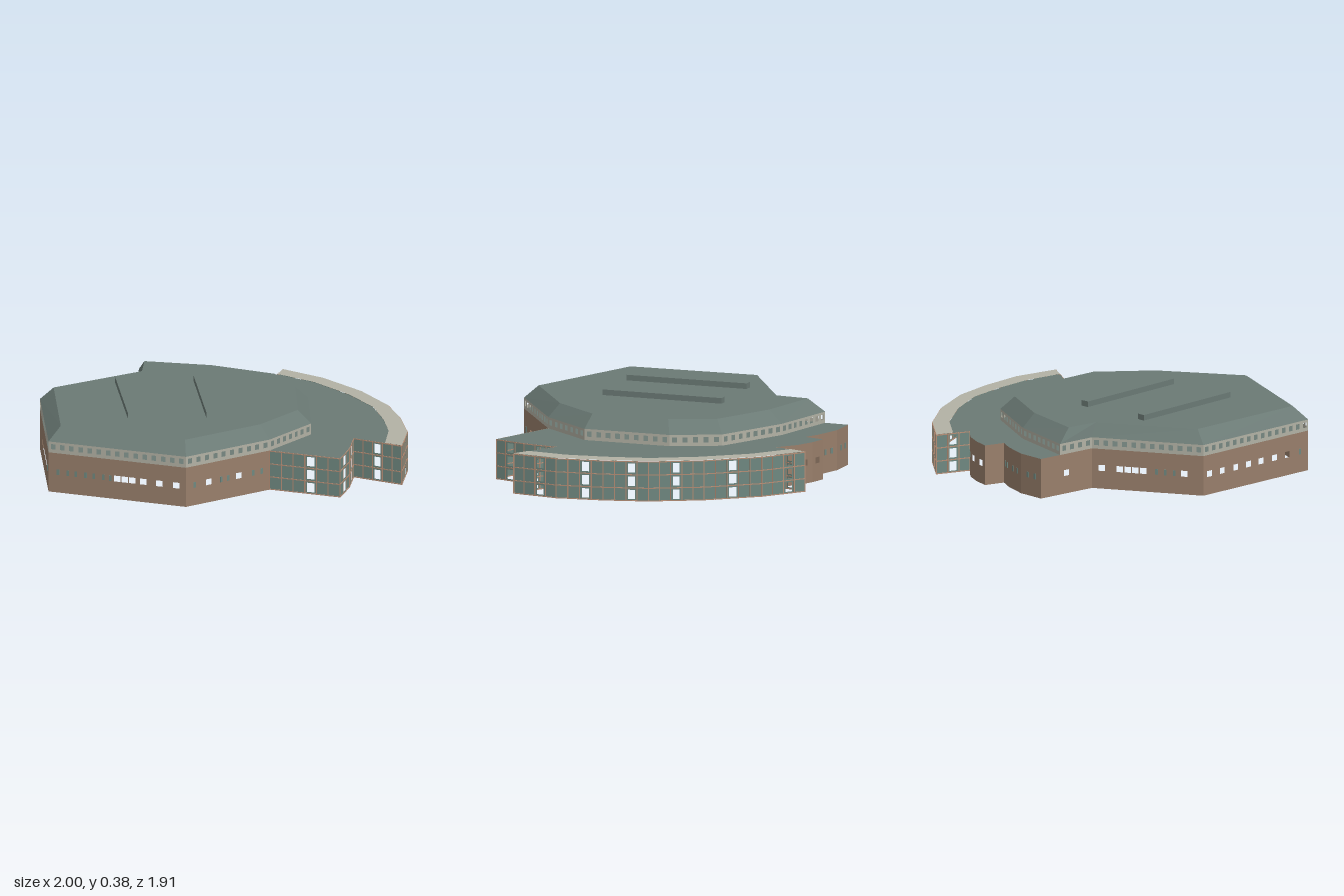
import * as THREE from 'three';
import { mergeGeometries } from 'three/addons/utils/BufferGeometryUtils.js';

const paint = (name, color) => {
  const m = new THREE.MeshStandardMaterial({ color, side: THREE.DoubleSide });
  m.name = name;
  return m;
};

// Outlines as [x, z], running counter-clockwise when seen from above
const EAVES = [[-1, 0.27], [-0.615, 0.95], [0.16, 0.885], [0.415, 0.405], [0.48, 0.045],
  [0.255, -0.375], [0.04, -0.55], [-0.385, -0.545], [-0.775, -0.45], [-0.68, -0.25]];
const RIDGE = [[-0.925, 0.26], [-0.58, 0.875], [0.12, 0.815], [0.35, 0.385], [0.41, 0.06],
  [0.21, -0.315], [0.01, -0.48], [-0.36, -0.475], [-0.71, -0.385], [-0.64, -0.215]];
const GLAZED = [[0.415, 0.405], [0.81, 0.37], [0.775, 0.19], [0.71, 0.005], [1, 0.02],
  [0.915, -0.22], [0.77, -0.43], [0.61, -0.61], [0.37, -0.78], [0.08, -0.91],
  [-0.18, -0.96], [-0.15, -0.77]];
const BACK = [[-0.15, -0.77], [-0.27, -0.8], [-0.38, -0.795], [-0.47, -0.775],
  [-0.445, -0.665], [-0.54, -0.665], [-0.69, -0.64], [-0.83, -0.57], [-0.68, -0.25]];
const RIM_INNER = [[0.9, 0.015], [0.82, -0.19], [0.7, -0.37], [0.55, -0.55],
  [0.33, -0.7], [0.07, -0.82], [-0.165, -0.865]];

const WALL_TOP = 0.215, EAVES_Y = 0.275, ROOF_Y = 0.345, VENT_Y = 0.375;

// Places wall-local geometry (x along the wall, y up, z outward) between a and b
function alongWall(geometry, a, b) {
  return geometry.rotateY(Math.atan2(a[1] - b[1], b[0] - a[0])).translate(a[0], 0, a[1]);
}
const lengthOf = (a, b) => Math.hypot(b[0] - a[0], b[1] - a[1]);

// Upright panel with rectangular openings [centreX, centreY, width, height]
function panel(a, b, y0, y1, openings) {
  const w = lengthOf(a, b);
  const shape = new THREE.Shape([[0, y0], [w, y0], [w, y1], [0, y1]].map(p => new THREE.Vector2(...p)));
  for (const [x, y, ow, oh] of openings) {
    const l = x - ow / 2, r = x + ow / 2, d = y - oh / 2, u = y + oh / 2;
    shape.holes.push(new THREE.Path([[l, d], [l, u], [r, u], [r, d]].map(p => new THREE.Vector2(...p))));
  }
  return alongWall(new THREE.ShapeGeometry(shape), a, b);
}

const outline = pts => new THREE.Shape(pts.map(([x, z]) => new THREE.Vector2(x, -z)));
const flat = (pts, y) => new THREE.ShapeGeometry(outline(pts)).rotateX(-Math.PI / 2).translate(0, y, 0);

// Sloping faces between two loops of equal length
function slopes(lower, y0, upper, y1) {
  const pos = [];
  lower.forEach((a, i) => {
    const j = (i + 1) % lower.length;
    const A = [a[0], y0, a[1]], B = [lower[j][0], y0, lower[j][1]];
    const C = [upper[j][0], y1, upper[j][1]], D = [upper[i][0], y1, upper[i][1]];
    pos.push(...A, ...B, ...C, ...A, ...C, ...D);
  });
  const g = new THREE.BufferGeometry();
  g.setAttribute('position', new THREE.Float32BufferAttribute(pos, 3));
  g.computeVertexNormals();
  return g;
}

export function createModel() {
  const roof = paint('green roof', 0x6b7a75);
  const brick = paint('brown brick', 0x997f6b);
  const trim = paint('pale trim', 0xb3b2a5);
  const glass = paint('green glass', 0x6f8880);
  const copper = paint('copper frame', 0xb58e76);

  const model = new THREE.Group();
  const add = (name, geometry, material) => {
    const mesh = new THREE.Mesh(geometry, material);
    mesh.name = name;
    model.add(mesh);
  };

  // Brick walls: open windows and narrow glazed slots, as fractions of wall length
  function brickWall(name, a, b, open = [], slots = []) {
    const w = lengthOf(a, b);
    add(name, panel(a, b, 0, WALL_TOP, open.map(t => [t * w, 0.112, 0.036, 0.032])), brick);
    if (!slots.length) return;
    const panes = slots.map(t => alongWall(
      new THREE.BoxGeometry(0.014, 0.03, 0.006).translate(t * w, 0.112, 0), a, b));
    add(name + 'Slots', mergeGeometries(panes), glass);
  }
  brickWall('leftFrontWall', EAVES[0], EAVES[1], [0.06, 0.18, 0.31, 0.43, 0.55, 0.68, 0.8], [0.92]);
  brickWall('frontWall', EAVES[1], EAVES[2], [0.5, 0.555, 0.61, 0.69, 0.805, 0.93],
    [0.07, 0.14, 0.2, 0.27, 0.33, 0.4, 0.45]);
  brickWall('rightFrontWall', EAVES[2], EAVES[3], [0.27, 0.63], [0.1, 0.42, 0.5, 0.8, 0.9]);
  brickWall('leftBackWall', EAVES[9], EAVES[0], [0.09, 0.25, 0.32, 0.39, 0.46, 0.83], [0.58, 0.66, 0.74]);
  for (let i = 0; i < BACK.length - 1; i++) {
    const open = [1, 2, 7].includes(i) ? [0.5] : [];
    const slots = [0, 4, 5, 6].includes(i) ? [0.35, 0.7] : [];
    brickWall('backWall' + i, BACK[i], BACK[i + 1], open, slots);
  }

  // Curtain walls: glass in three rows, one open bay per length, copper grid
  for (let i = 0; i < GLAZED.length - 1; i++) {
    const a = GLAZED[i], b = GLAZED[i + 1], w = lengthOf(a, b);
    const bays = Math.max(3, Math.round(w / 0.062)), step = w / bays;
    const x = (Math.floor(bays / 2) + 0.5) * step;
    const rows = [0.036, 0.107, 0.178];
    add('glassWall' + i, panel(a, b, 0, WALL_TOP, rows.map(y => [x, y, step * 0.62, 0.05])), glass);
    const bars = [];
    for (const y of [0.003, 0.071, 0.142, 0.212])
      bars.push(new THREE.BoxGeometry(w, 0.005, 0.006).translate(w / 2, y, 0));
    for (let k = 0; k <= bays; k++)
      bars.push(new THREE.BoxGeometry(0.005, WALL_TOP, 0.006).translate(k * step, WALL_TOP / 2, 0));
    add('windowFrame' + i, alongWall(mergeGeometries(bars), a, b), copper);
  }

  // Clerestory band with a row of small openings all round the hall
  EAVES.forEach((a, i) => {
    const b = EAVES[(i + 1) % EAVES.length], w = lengthOf(a, b);
    const n = Math.floor(w / 0.05), step = w / n, openings = [];
    for (let k = 0; k < n; k++) openings.push([(k + 0.5) * step, 0.248, 0.026, 0.028]);
    add('clerestory' + i, panel(a, b, WALL_TOP, EAVES_Y, openings), trim);
  });

  // Low roof over the whole plan, with a pale rim along the curved front
  const arc = GLAZED.slice(4, 11);
  add('lowRoof', flat([...EAVES.slice(0, 3), ...GLAZED.slice(0, 4), ...RIM_INNER,
    ...BACK], WALL_TOP), roof);
  add('roofRim', flat([...arc, ...[...RIM_INNER].reverse()], WALL_TOP + 0.002), trim);

  // Hall roof with sloping edges
  add('roofSlopes', slopes(EAVES, EAVES_Y, RIDGE, ROOF_Y), roof);
  add('roofDeck', flat(RIDGE, ROOF_Y), roof);

  // Tapered roof vents
  const vents = [[[-0.675, 0.035], [-0.315, 0.61], [-0.635, 0.015]],
    [[-0.315, -0.17], [0.04, 0.4], [-0.275, -0.193]]];
  for (const pts of vents) {
    const g = new THREE.ExtrudeGeometry(outline(pts), { depth: VENT_Y - ROOF_Y, bevelEnabled: false });
    add('roofVent', g.rotateX(-Math.PI / 2).translate(0, ROOF_Y, 0), roof);
  }
  return model;
}
